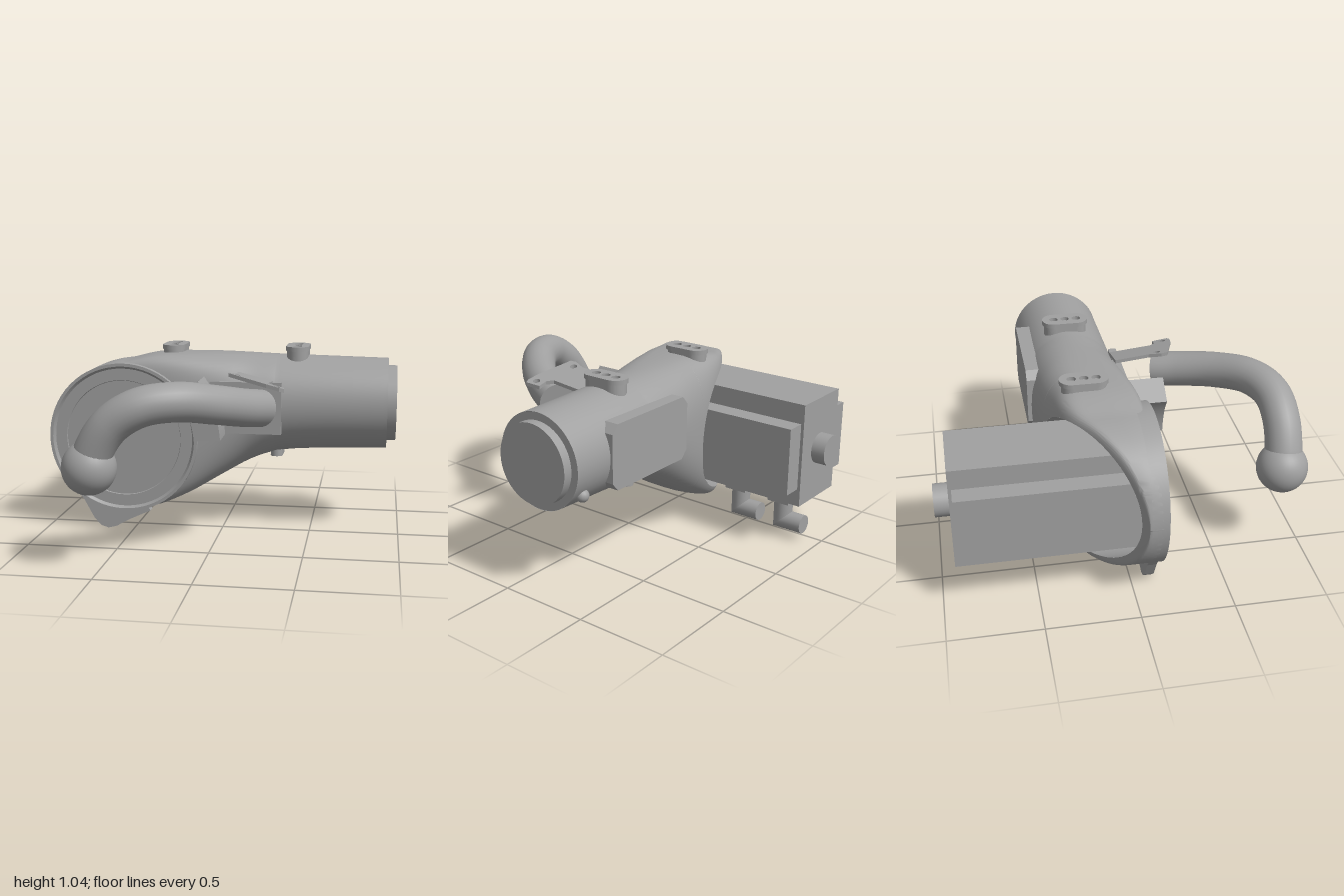
import * as THREE from 'three';
import { toCreasedNormals } from 'three/addons/utils/BufferGeometryUtils.js';

const grey = new THREE.MeshStandardMaterial({ color: 0xa0a0a0, side: THREE.DoubleSide });
grey.name = 'castGrey';

// Centre and radii of the round housing
const CX = -0.55, CY = 0.54, R = 0.425, CAVITY = 0.38;

// Smooth interpolation through [x, value] pairs
function curve(pts) {
  const slope = (i) => {
    const a = pts[Math.max(i - 1, 0)], b = pts[Math.min(i + 1, pts.length - 1)];
    return (b[1] - a[1]) / (b[0] - a[0]);
  };
  return (x) => {
    if (x <= pts[0][0]) return pts[0][1];
    const i = pts.findIndex((p) => p[0] >= x);
    if (i < 0) return pts[pts.length - 1][1];
    const [x0, y0] = pts[i - 1], [x1, y1] = pts[i], d = x1 - x0, t = (x - x0) / d;
    const s = t * t * (3 - 2 * t);
    return y0 * (1 - s) + y1 * s + d * t * (1 - t) * ((1 - t) * slope(i - 1) - t * slope(i));
  };
}

// Housing outline and depth along x
const topLine = curve([[-0.55, 0.967], [-0.4, 1.0], [-0.25, 1.01], [0, 1.01], [0.3, 1.0], [0.92, 0.985]]);
const bottomLine = curve([[-0.55, 0.113], [-0.4, 0.125], [-0.2, 0.2], [0, 0.31], [0.15, 0.39], [0.3, 0.44], [0.5, 0.46], [0.92, 0.475]]);
const frontLine = curve([[-0.975, 0.11], [-0.2, 0.11], [0.3, 0.09], [0.92, 0.075]]);
const backLine = curve([[-0.975, 0.04], [-0.71, -0.15], [-0.45, -0.32], [-0.18, -0.395], [0.2, -0.43], [0.92, -0.43]]);
const frontPower = curve([[-0.6, 12], [-0.2, 5], [0.1, 2.5], [0.3, 2]]);
const backPower = curve([[-0.7, 12], [-0.3, 4], [0, 2.6], [0.3, 2]]);

function section(x) {
  const round = Math.sqrt(Math.max(0, R * R - (x - CX) ** 2));
  const yt = x < CX ? CY + round : topLine(x), yb = x < CX ? CY - round : bottomLine(x);
  return { yc: (yt + yb) / 2, h: Math.max((yt - yb) / 2, 1e-3), zf: frontLine(x), zb: backLine(x) };
}

function depth(x, y, front) {
  const { yc, h, zf, zb } = section(x), mid = (zf + zb) / 2;
  const u = Math.min(1, Math.abs(y - yc) / h), n = front ? frontPower(x) : backPower(x);
  return mid + ((front ? zf : zb) - mid) * Math.pow(1 - Math.pow(u, n), 1 / n);
}

// Grid surface from rows of points
function surface(rows, crease = 0.6) {
  const m = rows[0].length, index = [];
  for (let i = 0; i < rows.length - 1; i++) for (let j = 0; j < m - 1; j++) {
    const a = i * m + j, b = a + m;
    index.push(a, a + 1, b, b, a + 1, b + 1);
  }
  const g = new THREE.BufferGeometry();
  g.setAttribute('position', new THREE.Float32BufferAttribute(rows.flat(2), 3));
  g.setIndex(index);
  return toCreasedNormals(g, crease);
}

function housingShell() {
  const xs = [];
  [[-0.975, -0.93, 6], [-0.93, -0.17, 40], [-0.17, 0.3, 16], [0.3, 0.92, 8]].forEach(([a, b, n], k) => {
    for (let i = k ? 1 : 0; i <= n; i++) xs.push(a + (b - a) * (1 - Math.cos(Math.PI * i / n)) / 2);
  });
  const N = 16, H = Math.PI / 2;
  return surface(xs.map((x) => {
    const { yc, h } = section(x);
    const c = Math.sqrt(Math.max(0, CAVITY ** 2 - (x - CX) ** 2));
    const edge = (s) => Math.asin(THREE.MathUtils.clamp((CY + s * c - yc) / h, -1, 1));
    const row = [];
    const run = (a, b, n, front) => {
      for (let j = 0; j <= n; j++) {
        const y = yc + h * Math.sin(a + (b - a) * j / n);
        row.push([x, y, depth(x, y, front)]);
      }
    };
    run(edge(1), H, N, false);
    run(H, -H, 2 * N, true);
    run(-H, edge(-1), N, false);
    return row;
  }));
}

function cavityWall() {
  const rows = [];
  for (let i = 0; i <= 64; i++) {
    const a = Math.PI * 2 * i / 64, x = CX + CAVITY * Math.cos(a), y = CY + CAVITY * Math.sin(a);
    rows.push([[x, y, depth(x, y, false)], [x, y, 0.05]]);
  }
  return surface(rows);
}

// Long rounded outline, with optional three screw holes
function stadium(w, l, holes) {
  const r = w / 2, e = l / 2 - r, s = new THREE.Shape();
  s.absarc(0, e, r, 0, Math.PI);
  s.absarc(0, -e, r, Math.PI, Math.PI * 2);
  if (holes) for (const k of [-1, 0, 1]) s.holes.push(new THREE.Path().absarc(0, k * e, 0.024, 0, Math.PI * 2, true));
  return s;
}

const polygon = (pts) => new THREE.Shape(pts.map(([x, y]) => new THREE.Vector2(x, y)));
const extrude = (shape, d) => new THREE.ExtrudeGeometry(shape, { depth: d, bevelEnabled: false, curveSegments: 16 });

export function createModel() {
  const model = new THREE.Group();
  const add = (name, geo, x = 0, y = 0, z = 0) => {
    const mesh = new THREE.Mesh(geo, grey);
    mesh.name = name;
    mesh.position.set(x, y, z);
    model.add(mesh);
    return mesh;
  };
  const box = (name, x0, x1, y0, y1, z0, z1) =>
    add(name, new THREE.BoxGeometry(x1 - x0, y1 - y0, z1 - z0), (x0 + x1) / 2, (y0 + y1) / 2, (z0 + z1) / 2);

  // Main housing with hollow back
  add('housing', housingShell());
  add('cavityWall', cavityWall());
  add('cavityFloor', new THREE.CircleGeometry(CAVITY + 0.01, 64).rotateY(Math.PI), CX, CY, 0.05);

  // Round front cover with stepped rim
  const rim = [[0.425, 0.05], [0.425, 0.14], [0.408, 0.14], [0.395, 0.125], [0.33, 0.125], [0.327, 0.12], [0, 0.12]];
  const cover = new THREE.LatheGeometry(rim.map(([r, z]) => new THREE.Vector2(r, z)), 64).rotateX(Math.PI / 2);
  add('frontCover', toCreasedNormals(cover, 0.5), CX, CY, 0);
  const fin = polygon([[-0.84, 0.24], [-0.79, 0.17], [-0.73, 0.06], [-0.69, 0.02], [-0.65, 0.007], [-0.6, 0.02], [-0.53, 0.06], [-0.4, 0.12], [-0.5, 0.25]]);
  add('bottomFin', extrude(fin, 0.05), 0, 0, 0.07);

  // Tube end
  add('tubeEnd', new THREE.CircleGeometry(0.254, 48).rotateY(Math.PI / 2), 0.92, 0.73, -0.177);
  add('endCollar', new THREE.CylinderGeometry(0.213, 0.213, 0.06, 48).rotateZ(Math.PI / 2), 0.94, 0.73, -0.177);
  add('sideButton', new THREE.SphereGeometry(0.035, 16, 12), 0.84, 0.58, -0.385);

  // Screw bosses on top and bottom
  for (const x of [-0.3, 0.41]) {
    add('topBoss', extrude(stadium(0.12, 0.24), 0.1).rotateX(-Math.PI / 2), x, 0.93, -0.18);
    add('topBossRim', extrude(stadium(0.13, 0.26, true), 0.025).rotateX(-Math.PI / 2), x, 1.025, -0.18);
  }
  add('bottomBoss', extrude(stadium(0.07, 0.17), 0.07).rotateX(-Math.PI / 2), 0.297, 0.415, -0.175);

  // Chamfered plate on the back of the tube
  const plate = polygon([[0.1, 0.555], [0.64, 0.555], [0.68, 0.6], [0.68, 0.86], [0.64, 0.905], [0.1, 0.905], [0.06, 0.86], [0.06, 0.6]]);
  add('backPlate', extrude(plate, 0.09), 0, 0, -0.445);

  // Motor with cross-shaped body and shaft stub
  box('motorWide', -0.83, -0.24, 0.35, 0.73, -0.905, 0.05);
  box('motorTall', -0.725, -0.35, 0.25, 0.84, -0.922, 0.05);
  add('motorStub', new THREE.CylinderGeometry(0.087, 0.087, 0.1, 32).rotateX(Math.PI / 2), -0.537, 0.545, -0.95);

  // Mitred pipe elbows under the motor
  for (const z of [-0.485, -0.77]) {
    const mitre = (len, end) => {
      const g = new THREE.CylinderGeometry(0.053, 0.053, len, 24).translate(0, len / 2, 0);
      const p = g.attributes.position;
      for (let i = 0; i < p.count; i++) if (p.getY(i) < 1e-4) p.setY(i, -p.getZ(i) * end);
      return g;
    };
    add('pipeDrop', mitre(0.13, 1), -0.45, 0.1, z);
    add('pipeOutlet', mitre(0.135, -1).rotateX(-Math.PI / 2), -0.45, 0.1, z);
    box('pipeFlange', -0.517, -0.383, 0.22, 0.255, z - 0.067, z + 0.067);
  }

  // Curved block beside the cover
  const sector = new THREE.Shape();
  sector.absarc(0, 0, 0.58, 0.06, 0.66);
  sector.absarc(0, 0, 0.435, 0.66, 0.06, true);
  add('curvedBlock', extrude(sector, 0.22), CX, CY, 0.07);

  // Mounting plate and slanted bracket with holes
  box('mountPlate', -0.06, 0.34, 0.58, 0.87, 0.06, 0.105);
  const hook = polygon([[0.1, -0.06], [0.29, -0.06], [0.29, -0.3], [0.32, -0.33], [0.375, -0.33], [0.385, -0.42], [0.36, -0.43], [0.29, -0.42], [0.085, -0.355], [0.08, -0.32], [0.105, -0.25]]);
  for (const [x, y] of [[0.125, -0.3], [0.345, -0.38]])
    hook.holes.push(new THREE.Path().absarc(x, y, 0.02, 0, Math.PI * 2, true));
  const bracket = extrude(hook, 0.02).rotateX(-Math.PI / 2), p = bracket.attributes.position;
  for (let i = 0; i < p.count; i++)
    p.setY(i, p.getY(i) + 0.935 - 0.25 * (p.getX(i) - 0.08) + 0.1 * (p.getZ(i) - 0.35));
  bracket.computeVertexNormals();
  add('bracket', bracket);

  // Curved handle with ball end
  const path = new THREE.CatmullRomCurve3([
    [0.25, 0.765, 0.32], [0.18, 0.79, 0.46], [0.06, 0.83, 0.63], [-0.11, 0.865, 0.78],
    [-0.28, 0.845, 0.855], [-0.42, 0.76, 0.87], [-0.51, 0.63, 0.865], [-0.54, 0.535, 0.855],
  ].map((v) => new THREE.Vector3(...v)));
  add('handle', new THREE.TubeGeometry(path, 48, 0.1, 24));
  const cap = add('handleCap', new THREE.CircleGeometry(0.1, 24));
  cap.position.copy(path.getPoint(0));
  cap.lookAt(path.getPoint(0).sub(path.getTangent(0)));
  add('handleBall', new THREE.SphereGeometry(0.139, 32, 24), -0.54, 0.537, 0.855);

  return model;
}
